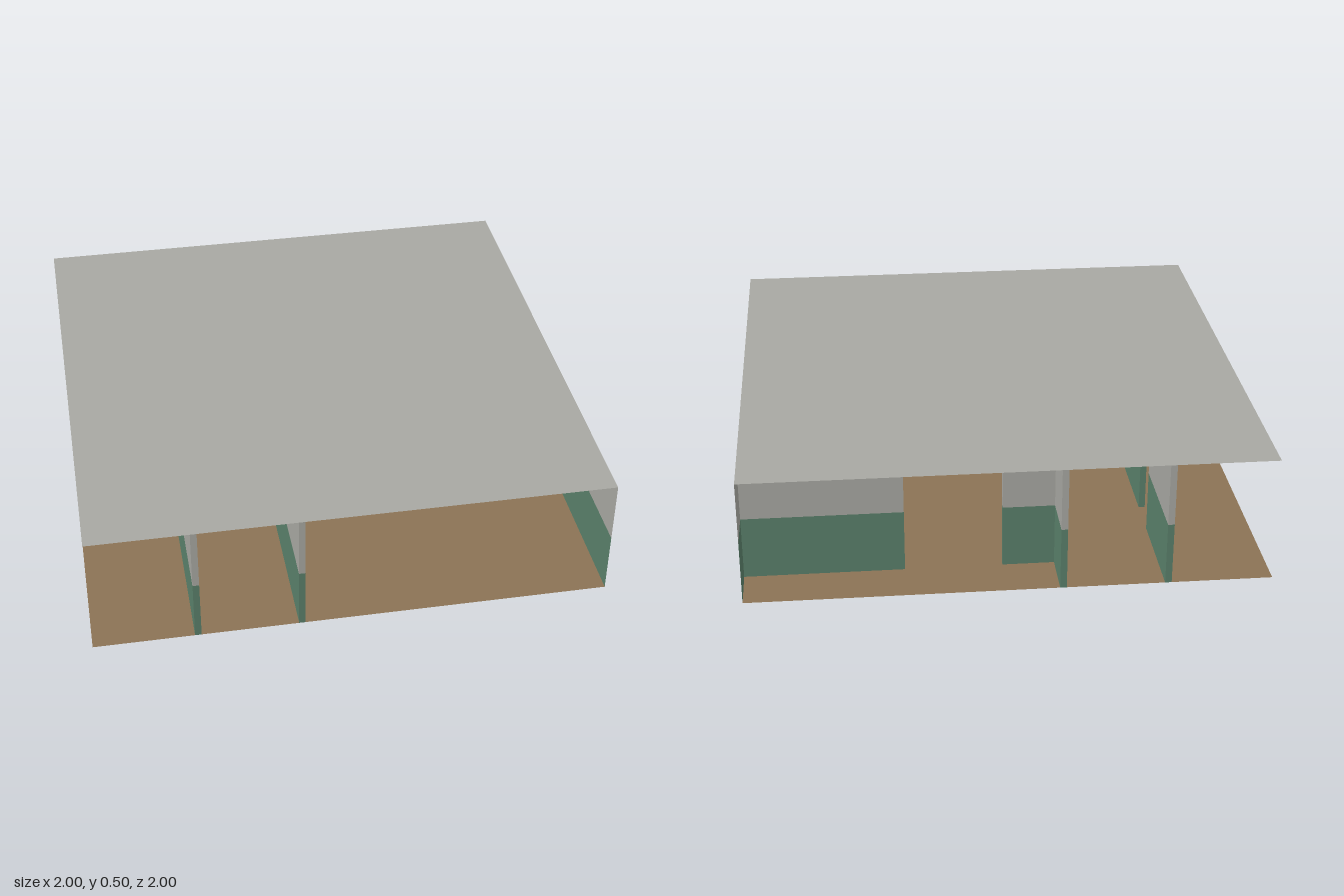
import * as THREE from 'three';

const HEIGHT = 0.5, DADO = 0.25, T = 0.025;

function material(name, color, side = THREE.FrontSide) {
  const m = new THREE.MeshStandardMaterial({ color, side });
  m.name = name;
  return m;
}

export function createModel() {
  const grey = material('grey plaster', 0xa8a8a2, THREE.DoubleSide);
  const green = material('green dado', 0x5a806a, THREE.DoubleSide);
  const brown = material('brown floor', 0x8b7355, THREE.DoubleSide);

  const model = new THREE.Group();
  model.name = 'corridorBlock';

  function add(parent, name, geometry, mat, x, y, z) {
    const mesh = new THREE.Mesh(geometry, mat);
    mesh.name = name;
    mesh.position.set(x, y, z);
    parent.add(mesh);
    return mesh;
  }

  // Floor and ceiling sheets
  const sheet = new THREE.PlaneGeometry(2, 2).rotateX(-Math.PI / 2);
  add(model, 'floor', sheet, brown, 0, 0, 0);
  add(model, 'ceiling', sheet, grey, 0, HEIGHT, 0);

  // Closed side wall, a thin sheet in two colours
  const side = new THREE.Group();
  side.name = 'sideWall';
  const band = new THREE.PlaneGeometry(2, DADO).rotateY(Math.PI / 2);
  add(side, 'sideWallDado', band, green, 1, DADO / 2, 0);
  add(side, 'sideWallUpper', band, grey, 1, DADO * 1.5, 0);
  model.add(side);

  // Partition running along one axis at a fixed offset on the other
  function partition(name, axis, offset, from, to) {
    const a = Math.max(from - T / 2, -1);
    const b = Math.min(to + T / 2, 1);
    const mid = (a + b) / 2;
    const alongX = axis === 'x';
    const geo = new THREE.BoxGeometry(alongX ? b - a : T, DADO, alongX ? T : b - a);
    const wall = new THREE.Group();
    wall.name = name;
    const x = alongX ? mid : offset, z = alongX ? offset : mid;
    add(wall, name + 'Dado', geo, green, x, DADO / 2, z);
    add(wall, name + 'Upper', geo, grey, x, DADO * 1.5, z);
    model.add(wall);
  }

  // Main corridor walls, with facing doorways and a cross corridor
  for (const [label, x] of [['right', -0.6], ['left', -0.2]]) {
    partition(label + 'CorridorWallBack', 'z', x, -1, -0.6);
    partition(label + 'CorridorWallMiddle', 'z', x, -0.4, 0);
    partition(label + 'CorridorWallFront', 'z', x, 0.4, 1);
  }

  // Cross corridor walls
  partition('crossWallBackRight', 'x', 0, -1, -0.6);
  partition('crossWallBackLeft', 'x', 0, -0.2, 1);
  partition('crossWallFrontRight', 'x', 0.4, -1, -0.6);
  partition('crossWallFrontInner', 'x', 0.4, -0.2, 0.2);
  partition('crossWallFrontOuter', 'x', 0.4, 0.4, 1);

  // Rear room divider with a wide opening
  partition('roomDividerInner', 'x', -0.8, -0.2, 0);
  partition('roomDividerOuter', 'x', -0.8, 0.4, 1);

  return model;
}
